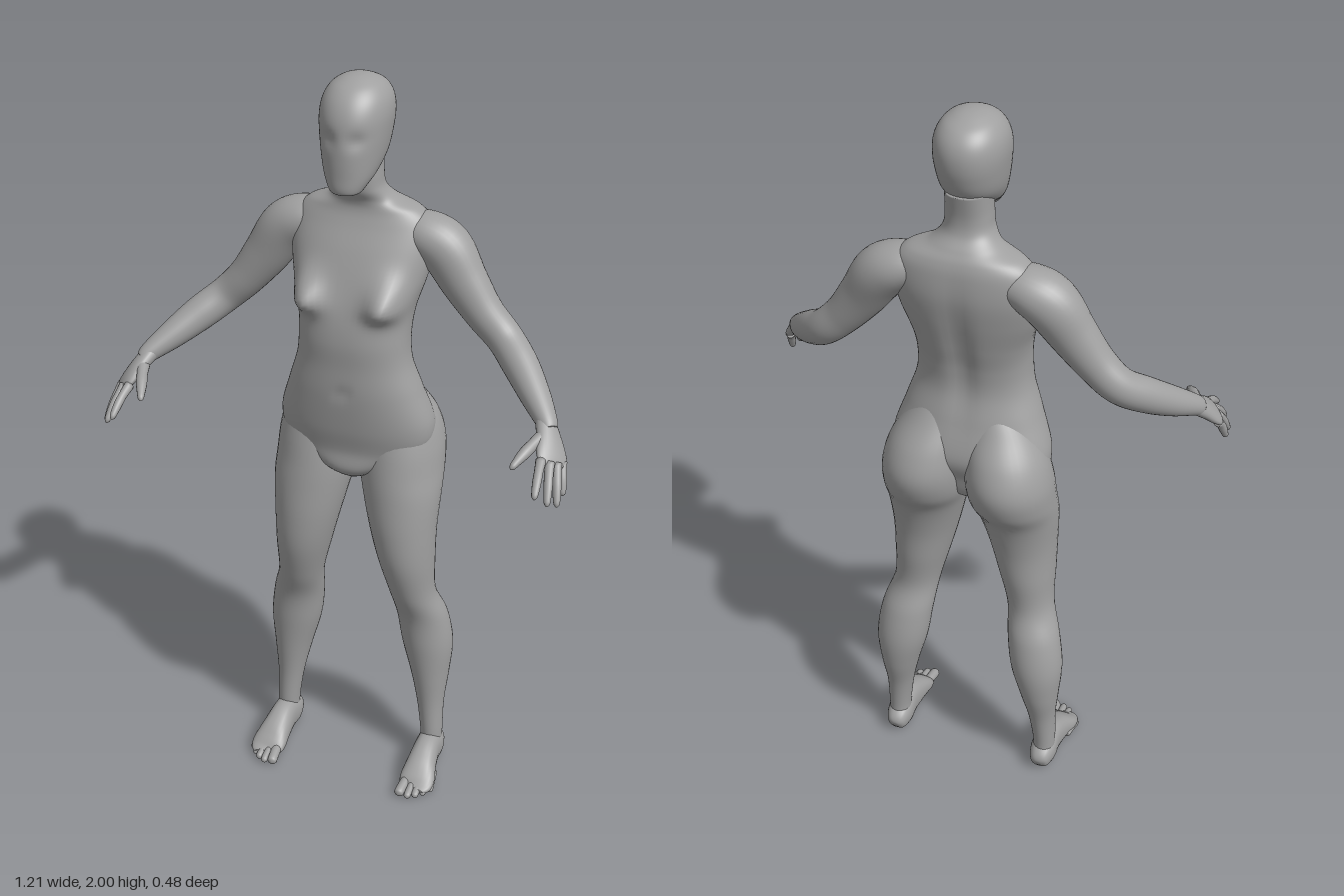
import * as THREE from 'three';

const skin = new THREE.MeshStandardMaterial({ color: 0xa0a0a0 });
skin.name = 'plain grey';

const V = (x, y, z) => new THREE.Vector3(x, y, z);
const bell = (d, width) => Math.exp(-((d / width) ** 2));

// Smooth interpolation of a whole row of numbers
function sampleRows(rows, t) {
  const f = t * (rows.length - 1);
  const i = Math.min(Math.floor(f), rows.length - 2);
  const k = f - i;
  const at = (j) => rows[Math.max(0, Math.min(rows.length - 1, j))];
  return rows[0].map((_, c) => {
    const [a, b, d, e] = [at(i - 1)[c], at(i)[c], at(i + 1)[c], at(i + 2)[c]];
    return b + 0.5 * k * (d - a + k * (2 * a - 5 * b + 4 * d - e + k * (3 * (b - d) + e - a)));
  });
}

// Lofted skin through rows of [x, y, z, radius along ref x tangent, other radius].
// axis fixes the ring direction; otherwise rings follow the path.
function loft(name, rows, { ref, axis, segs = 24, steps = 6, power = 1, side = 1, deform } = {}) {
  const n = (rows.length - 1) * steps;
  const samples = Array.from({ length: n + 1 }, (_, i) => sampleRows(rows, i / n));
  const pos = [];
  const index = [];
  const put = (p) => pos.push(p.x * side, p.y, p.z);
  const tri = (a, b, c) => (side > 0 ? index.push(a, b, c) : index.push(a, c, b));
  const bend = (v) => Math.sign(v) * Math.abs(v) ** power;
  const centre = (i) => V(...samples[Math.max(0, Math.min(n, i))].slice(0, 3));
  for (let i = 0; i <= n; i++) {
    const t = axis ? axis.clone() : centre(i + 1).sub(centre(i - 1)).normalize();
    const u = ref.clone().cross(t).normalize();
    const v = t.clone().cross(u);
    const [, , , a, b] = samples[i];
    for (let j = 0; j < segs; j++) {
      const w = (j / segs) * Math.PI * 2;
      const p = centre(i)
        .addScaledVector(u, bend(Math.cos(w)) * Math.max(a, 0.001))
        .addScaledVector(v, bend(Math.sin(w)) * Math.max(b, 0.001));
      if (deform) deform(p);
      put(p);
    }
  }
  for (let i = 0; i < n; i++) {
    for (let j = 0; j < segs; j++) {
      const a = i * segs + j, b = i * segs + ((j + 1) % segs);
      tri(a, b, b + segs);
      tri(a, b + segs, a + segs);
    }
  }
  // Rounded-off end caps
  const first = (n + 1) * segs;
  put(centre(0));
  put(centre(n));
  for (let j = 0; j < segs; j++) {
    const k = (j + 1) % segs;
    tri(first, k, j);
    tri(first + 1, n * segs + j, n * segs + k);
  }
  const g = new THREE.BufferGeometry();
  g.setAttribute('position', new THREE.Float32BufferAttribute(pos, 3));
  g.setIndex(index);
  g.computeVertexNormals();
  const mesh = new THREE.Mesh(g, skin);
  mesh.name = name;
  return mesh;
}

// Upright loft from rows of [y, half width, front z, back z]
const upright = (name, rows, opts) => loft(name,
  rows.map(([y, w, f, b]) => [0, y, (f + b) / 2, (f - b) / 2, w]),
  { ref: V(1, 0, 0), axis: V(0, 1, 0), segs: 64, ...opts });

// Finger or toe with a rounded tip
function digit(name, a, b, r0, r1, side, lift = 0) {
  const at = (t, r) => [0, 1, 2].map((c) => a[c] + (b[c] - a[c]) * t + (c === 1 ? lift * 4 * t * (1 - t) : 0)).concat(r, r);
  const rm = (r0 + r1) / 2;
  return loft(name, [at(0, r0), at(0.35, rm), at(0.6, rm), at(0.85, r1), at(0.95, r1 * 0.75), at(1, r1 * 0.15)],
    { ref: V(1, 0, 0), segs: 12, steps: 3, side });
}

function makeTorso() {
  return upright('torso', [
    [0.93, 0.02, -0.03, -0.11], [0.97, 0.09, 0.018, -0.15], [1.03, 0.185, 0.02, -0.17],
    [1.1, 0.206, 0.034, -0.19], [1.2, 0.176, 0.046, -0.168], [1.28, 0.15, 0.048, -0.15],
    [1.35, 0.144, 0.05, -0.155], [1.42, 0.15, 0.04, -0.172], [1.5, 0.172, 0.015, -0.19],
    [1.57, 0.182, -0.012, -0.2], [1.63, 0.175, -0.04, -0.197], [1.665, 0.145, -0.052, -0.188],
    [1.69, 0.088, -0.05, -0.172], [1.72, 0.062, -0.035, -0.15], [1.76, 0.056, -0.03, -0.145],
    [1.82, 0.054, -0.03, -0.155],
  ], {
    power: 0.88, steps: 8,
    deform: (p) => {
      const x = Math.abs(p.x);
      // Bust, fuller below than above
      if (p.z > -0.06) {
        const k = Math.min(1, (p.z + 0.06) / 0.05);
        p.z += 0.052 * k * bell(x - 0.105, 0.045) * bell(p.y - 1.45, p.y > 1.45 ? 0.06 : 0.034);
        p.z -= 0.005 * bell(x, 0.015) * bell(p.y - 1.21, 0.02);
      } else if (p.z < -0.1) {
        // Spine groove
        p.z += 0.014 * bell(x, 0.03) * bell(p.y - 1.4, 0.17);
      }
    },
  });
}

function makeHead() {
  return upright('head', [
    [1.735, 0.02, 0.035, -0.01], [1.739, 0.036, 0.047, -0.025], [1.752, 0.046, 0.052, -0.045],
    [1.78, 0.062, 0.053, -0.095], [1.82, 0.075, 0.054, -0.15], [1.87, 0.083, 0.053, -0.173],
    [1.915, 0.086, 0.046, -0.179], [1.95, 0.08, 0.03, -0.171], [1.976, 0.064, 0.006, -0.15],
    [1.991, 0.042, -0.022, -0.12], [1.998, 0.021, -0.046, -0.095], [2, 0.003, -0.067, -0.073],
  ], {
    power: 0.94,
    // Shallow eye hollows either side of a faint nose ridge
    deform: (p) => {
      if (p.z > 0) p.z -= 0.008 * bell(Math.abs(p.x) - 0.035, 0.022) * bell(p.y - 1.87, 0.02);
    },
  });
}

function makeLeg(side) {
  const leg = new THREE.Group();
  leg.name = side > 0 ? 'leftLeg' : 'rightLeg';
  // Columns: x, y, z, depth radius, width radius
  leg.add(loft('legAndHip', [
    [0.22, 0.04, -0.098, 0.034, 0.03], [0.22, 0.1, -0.096, 0.036, 0.031], [0.213, 0.2, -0.102, 0.043, 0.038],
    [0.206, 0.3, -0.111, 0.06, 0.054], [0.196, 0.4, -0.112, 0.07, 0.071], [0.182, 0.5, -0.1, 0.067, 0.071],
    [0.162, 0.59, -0.069, 0.068, 0.063], [0.147, 0.7, -0.058, 0.088, 0.076], [0.135, 0.8, -0.059, 0.096, 0.09],
    [0.125, 0.9, -0.075, 0.106, 0.105], [0.116, 0.97, -0.1, 0.123, 0.112], [0.111, 1.04, -0.114, 0.126, 0.111],
    [0.102, 1.11, -0.112, 0.108, 0.1], [0.085, 1.18, -0.1, 0.075, 0.075], [0.07, 1.24, -0.1, 0.04, 0.04],
  ], { ref: V(1, 0, 0), axis: V(0, 1, 0), segs: 36, side }));
  // Foot from heel to ball
  leg.add(loft('foot', [
    [0.219, 0.032, -0.146, 0.008, 0.01], [0.219, 0.035, -0.138, 0.025, 0.029], [0.22, 0.045, -0.105, 0.036, 0.044],
    [0.221, 0.052, -0.055, 0.036, 0.05], [0.223, 0.042, 0, 0.042, 0.04], [0.226, 0.029, 0.04, 0.049, 0.026],
    [0.227, 0.019, 0.066, 0.046, 0.015], [0.225, 0.016, 0.082, 0.032, 0.008],
  ], { ref: V(0, 1, 0), power: 0.85, side, deform: (p) => { p.y = Math.max(p.y, 0); } }));
  const toes = [[0.192, 0.116, 0.014], [0.217, 0.116, 0.01], [0.237, 0.106, 0.01], [0.255, 0.089, 0.009], [0.27, 0.068, 0.009]];
  toes.forEach(([x, z, r], i) => leg.add(
    digit('toe' + (i + 1), [x * 0.8 + 0.045, 0.024, z - 0.07], [x, r, z], r, r, side, 0.002)));
  return leg;
}

function makeArm(side) {
  const arm = new THREE.Group();
  arm.name = side > 0 ? 'leftArm' : 'rightArm';
  arm.add(loft('shoulderAndArm', [
    [0.09, 1.612, -0.125, 0.04, 0.045], [0.155, 1.602, -0.124, 0.058, 0.066], [0.21, 1.57, -0.122, 0.067, 0.067],
    [0.262, 1.495, -0.114, 0.06, 0.055], [0.318, 1.422, -0.108, 0.05, 0.048], [0.375, 1.366, -0.1, 0.046, 0.045],
    [0.43, 1.322, -0.056, 0.045, 0.044], [0.485, 1.277, 0.002, 0.037, 0.038], [0.528, 1.242, 0.053, 0.026, 0.028],
    [0.54, 1.228, 0.068, 0.02, 0.024],
  ], { ref: V(0, 0, 1), segs: 32, side }));
  // Palm, thin across and wide from forefinger to little finger
  arm.add(loft('palm', [
    [0.52, 1.248, 0.045, 0.022, 0.024], [0.543, 1.217, 0.083, 0.02, 0.034], [0.558, 1.192, 0.112, 0.017, 0.043],
    [0.567, 1.177, 0.13, 0.012, 0.042], [0.571, 1.17, 0.138, 0.006, 0.032],
  ], { ref: V(0.045, -0.02, -0.055), side }));
  const fingers = [
    ['forefinger', [0.543, 1.187, 0.148], [0.553, 1.13, 0.236]],
    ['middleFinger', [0.562, 1.18, 0.14], [0.58, 1.105, 0.216]],
    ['ringFinger', [0.576, 1.173, 0.125], [0.597, 1.09, 0.186]],
    ['littleFinger', [0.584, 1.167, 0.104], [0.6, 1.098, 0.143]],
  ];
  fingers.forEach(([name, a, b]) => arm.add(digit(name, a, b, 0.013, 0.009, side, 0.007)));
  arm.add(digit('thumb', [0.534, 1.222, 0.082], [0.484, 1.18, 0.202], 0.019, 0.01, side, 0.006));
  return arm;
}

export function createModel() {
  const figure = new THREE.Group();
  figure.name = 'figure';
  figure.add(makeTorso(), makeHead());
  for (const side of [1, -1]) figure.add(makeLeg(side), makeArm(side));
  return figure;
}
